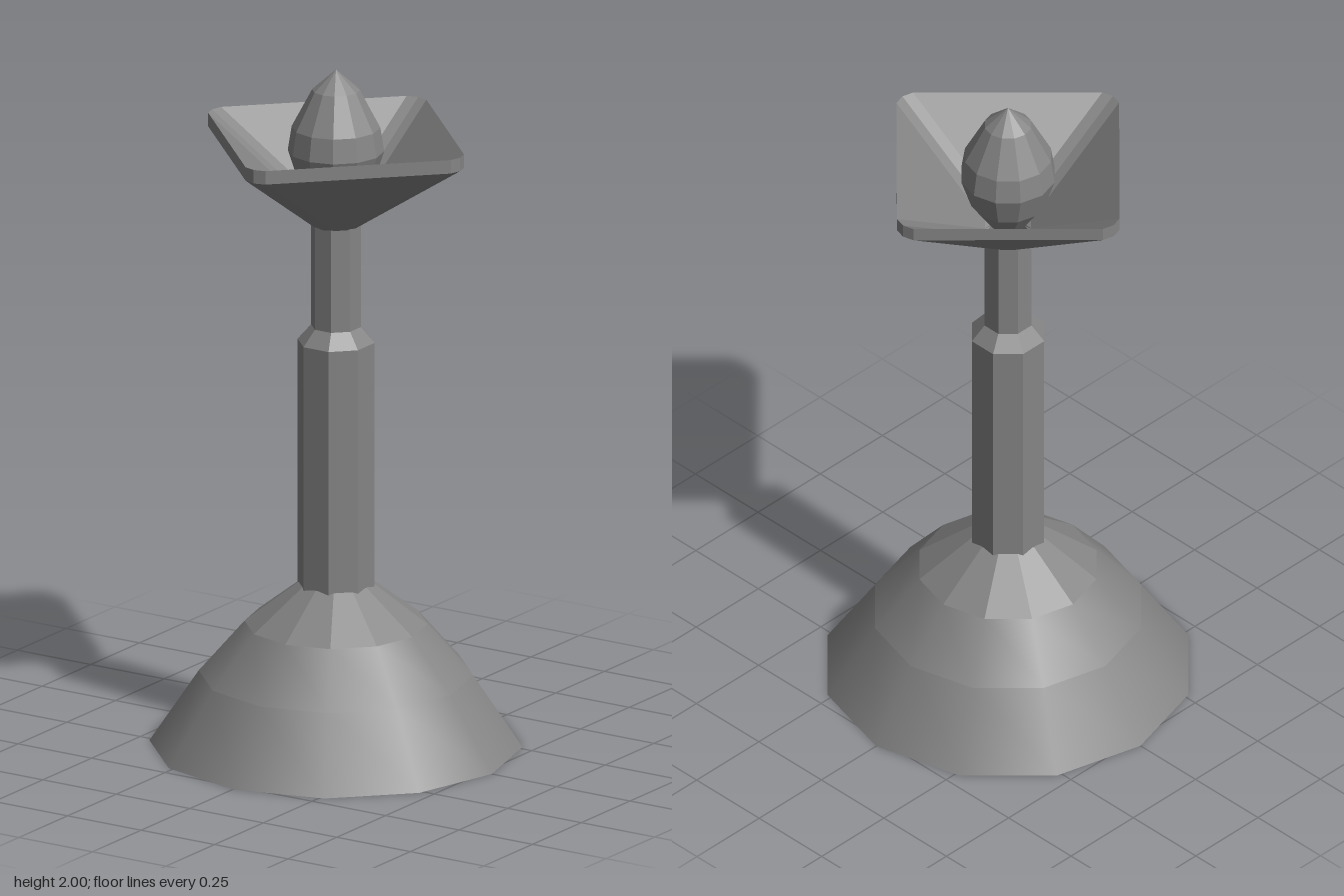
import * as THREE from 'three';

const material = (flatShading) => new THREE.MeshStandardMaterial({
  color: 0x858585, flatShading, side: THREE.DoubleSide,
});

// Turned part from [radius, height] pairs; turn rotates its first corner
function turned(name, profile, { sides = 12, turn = 0, flat = true } = {}) {
  const points = profile.map(([r, y]) => new THREE.Vector2(r, y));
  const geometry = new THREE.LatheGeometry(points, sides, turn);
  const mesh = new THREE.Mesh(geometry, material(flat));
  mesh.name = name;
  return mesh;
}

// Pull each quarter of a turned part outwards along its nearest axis,
// turning the round section into a diamond with clipped corners
function stretchToDiamond(geometry, minHeight, amount) {
  const p = geometry.attributes.position;
  for (let i = 0; i < p.count; i++) {
    if (p.getY(i) < minHeight) continue;
    const x = p.getX(i), z = p.getZ(i);
    if (Math.abs(x) > Math.abs(z)) p.setX(i, x + Math.sign(x) * amount);
    else p.setZ(i, z + Math.sign(z) * amount);
  }
  geometry.computeVertexNormals();
}

export function createModel() {
  const group = new THREE.Group();
  group.name = 'torchStand';

  // Hollow dome, open underneath: smooth lower bands and a faceted crown
  group.add(turned('domeLower', [[0.53, 0], [0.39, 0.21]], { flat: false }));
  group.add(turned('domeMiddle', [[0.39, 0.21], [0.26, 0.36]], { flat: false }));
  group.add(turned('domeCrown', [[0.26, 0.36], [0.104, 0.48]]));

  // Eight-sided column with a tapered shoulder, then the thin neck
  const octagon = { sides: 8, turn: Math.PI / 8 };
  group.add(turned('column', [[0.111, 0.47], [0.111, 1.195], [0.072, 1.24]], octagon));
  group.add(turned('neck', [[0.072, 1.24], [0.072, 1.545]], octagon));

  // Funnel-shaped dish: outside, upright rim, then the sloping inside
  const dish = turned('dish', [[0.067, 1.54], [0.067, 1.77], [0.067, 1.81], [0.067, 1.58]]);
  stretchToDiamond(dish.geometry, 1.7, 0.355);
  group.add(dish);

  // Pointed flame sitting in the dish
  group.add(turned('flame', [
    [0, 1.57], [0.06, 1.6], [0.108, 1.67], [0.137, 1.76], [0.126, 1.83], [0.068, 1.94], [0, 2],
  ]));

  return group;
}
